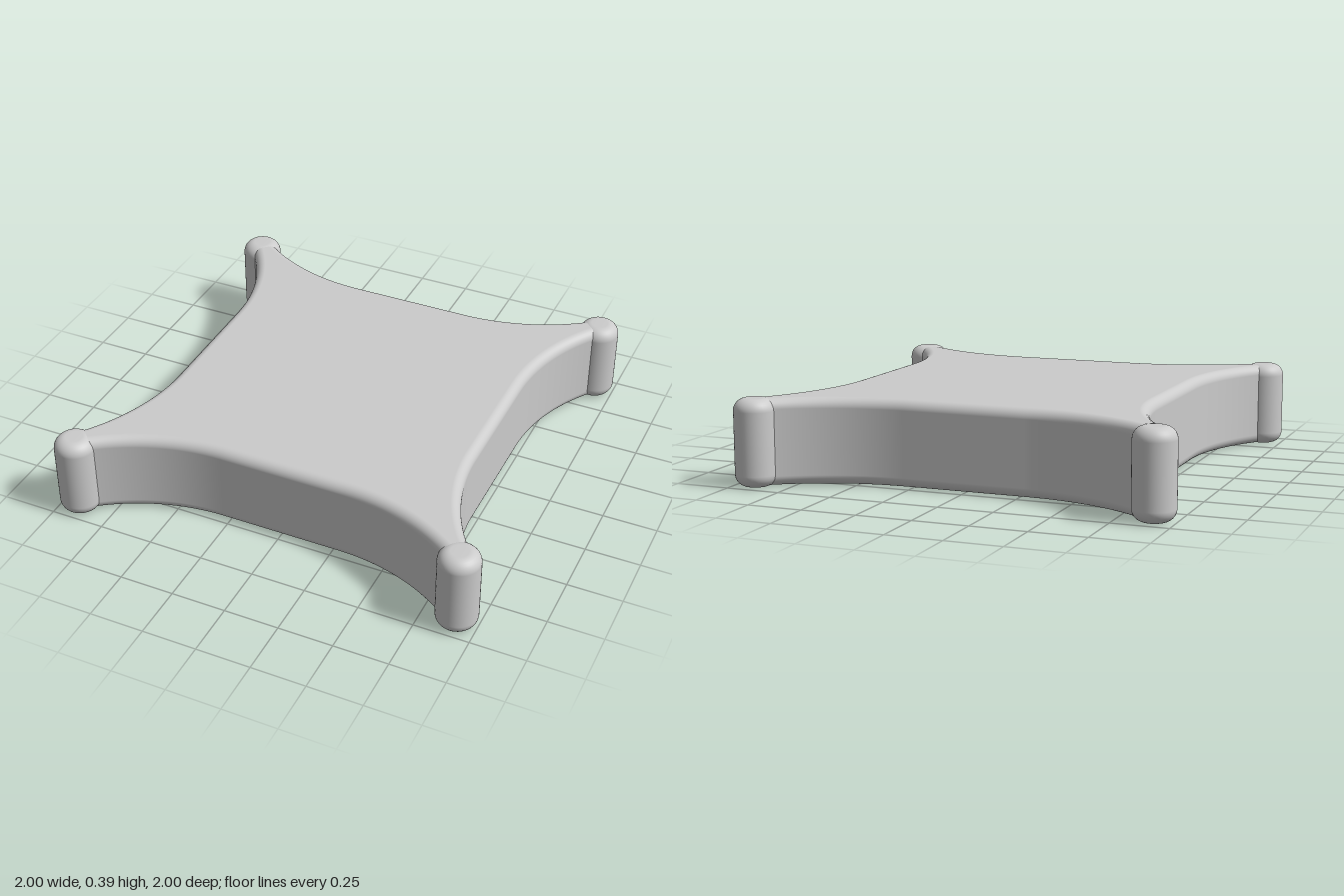
import * as THREE from 'three';

const H = 0.39, HALF = 0.735, FLAT = 0.28, ARC = 0.93, EDGE = 0.045;
const CORNER = 0.907, POST_R = 0.093, POST_EDGE = 0.055, DEPTH = 0.12;

const mat = new THREE.MeshStandardMaterial({ color: 0xcccccc });
const matDouble = new THREE.MeshStandardMaterial({ color: 0xcccccc, side: THREE.DoubleSide });

function add(parent, name, geometry, material = mat) {
  const mesh = new THREE.Mesh(geometry, material);
  mesh.name = name;
  parent.add(mesh);
  return mesh;
}

// Plan outline with outward normals: a straight run flaring into an arc at each end, turned four times
function planOutline() {
  const side = [], steps = 16, sweep = Math.asin((0.83 - FLAT) / ARC);
  for (let i = -steps; i <= steps; i++) {
    const a = (Math.abs(i) / steps) * sweep, s = Math.sign(i);
    const point = (sign) => side.push({
      x: sign * (FLAT + ARC * Math.sin(a)), z: HALF + ARC * (1 - Math.cos(a)),
      nx: -sign * Math.sin(a), nz: Math.cos(a),
    });
    if (i === 0) { point(-1); point(1); } else point(s);
  }
  const all = [];
  for (let k = 0; k < 4; k++) {
    for (const p of side) {
      let { x, z, nx, nz } = p;
      for (let r = 0; r < k; r++) [x, z, nx, nz] = [z, -x, nz, -nx];
      all.push({ x, z, nx, nz });
    }
  }
  return all;
}

// Side wall with rounded top and bottom edges
function wallGeometry(outline, y0, y1) {
  const rows = [], steps = 8;
  for (let i = 0; i <= steps; i++) rows.push([(i / steps - 1) * Math.PI / 2, y0 + EDGE]);
  for (let i = 0; i <= steps; i++) rows.push([(i / steps) * Math.PI / 2, y1 - EDGE]);
  const pos = [], nor = [], idx = [], n = outline.length;
  for (const [a, y] of rows) {
    const c = Math.cos(a), s = Math.sin(a), inset = EDGE * (1 - c);
    for (const p of outline) {
      pos.push(p.x - p.nx * inset, y + EDGE * s, p.z - p.nz * inset);
      nor.push(p.nx * c, s, p.nz * c);
    }
  }
  for (let j = 0; j < rows.length - 1; j++) {
    for (let i = 0; i < n; i++) {
      const k = (i + 1) % n, a = j * n + i, b = j * n + k;
      idx.push(a, b, b + n, a, b + n, a + n);
    }
  }
  const g = new THREE.BufferGeometry();
  g.setAttribute('position', new THREE.Float32BufferAttribute(pos, 3));
  g.setAttribute('normal', new THREE.Float32BufferAttribute(nor, 3));
  g.setIndex(idx);
  return g;
}

// Cross-shaped mounting socket, as plan points
function crossPoints(cx, cz) {
  const w = 0.03, l = 0.09;
  return [[w, w], [w, l], [-w, l], [-w, w], [-l, w], [-l, -w],
    [-w, -w], [-w, -l], [w, -l], [w, -w], [l, -w], [l, w]]
    .map(([x, z]) => new THREE.Vector2(cx + x, cz + z));
}

function socketWalls(points, y0, y1) {
  const pos = [];
  points.forEach((a, i) => {
    const b = points[(i + 1) % points.length];
    pos.push(a.x, y0, a.y, b.x, y0, b.y, b.x, y1, b.y, a.x, y0, a.y, b.x, y1, b.y, a.x, y1, a.y);
  });
  const g = new THREE.BufferGeometry();
  g.setAttribute('position', new THREE.Float32BufferAttribute(pos, 3));
  g.computeVertexNormals();
  return g;
}

// Upright corner post with rounded ends
function postGeometry() {
  const profile = [new THREE.Vector2(0, 0)], steps = 8, r = POST_R - POST_EDGE;
  for (const [start, y] of [[-Math.PI / 2, POST_EDGE], [0, H - POST_EDGE]]) {
    for (let i = 0; i <= steps; i++) {
      const a = start + (i / steps) * Math.PI / 2;
      profile.push(new THREE.Vector2(r + POST_EDGE * Math.cos(a), y + POST_EDGE * Math.sin(a)));
    }
  }
  profile.push(new THREE.Vector2(0, H));
  return new THREE.LatheGeometry(profile, 40);
}

export function createModel() {
  const model = new THREE.Group();
  model.name = 'cornerPostTray';
  const outline = planOutline(), y0 = 0.002, y1 = H - 0.002;

  // Body
  const body = new THREE.Group();
  body.name = 'body';
  model.add(body);
  add(body, 'sideWall', wallGeometry(outline, y0, y1));
  const capPoints = outline.map((p) => new THREE.Vector2(p.x - p.nx * EDGE, p.z - p.nz * EDGE));
  add(body, 'topFace', new THREE.ShapeGeometry(new THREE.Shape(capPoints)).rotateX(-Math.PI / 2).translate(0, y1, 0));

  // Underside with four recessed sockets
  const underside = new THREE.Shape(capPoints);
  for (const x of [-0.37, 0.37]) {
    for (const z of [-0.11, 0.11]) {
      const points = crossPoints(x, z);
      underside.holes.push(new THREE.Path(points));
      add(body, 'socketWalls', socketWalls(points, y0, DEPTH), matDouble);
      add(body, 'socketFloor', new THREE.ShapeGeometry(new THREE.Shape(points)).rotateX(Math.PI / 2).translate(0, DEPTH, 0));
    }
  }
  add(body, 'underside', new THREE.ShapeGeometry(underside).rotateX(Math.PI / 2).translate(0, y0, 0));

  // Corner posts
  const post = postGeometry();
  for (const x of [-CORNER, CORNER]) {
    for (const z of [-CORNER, CORNER]) add(model, 'cornerPost', post).position.set(x, 0, z);
  }
  return model;
}
